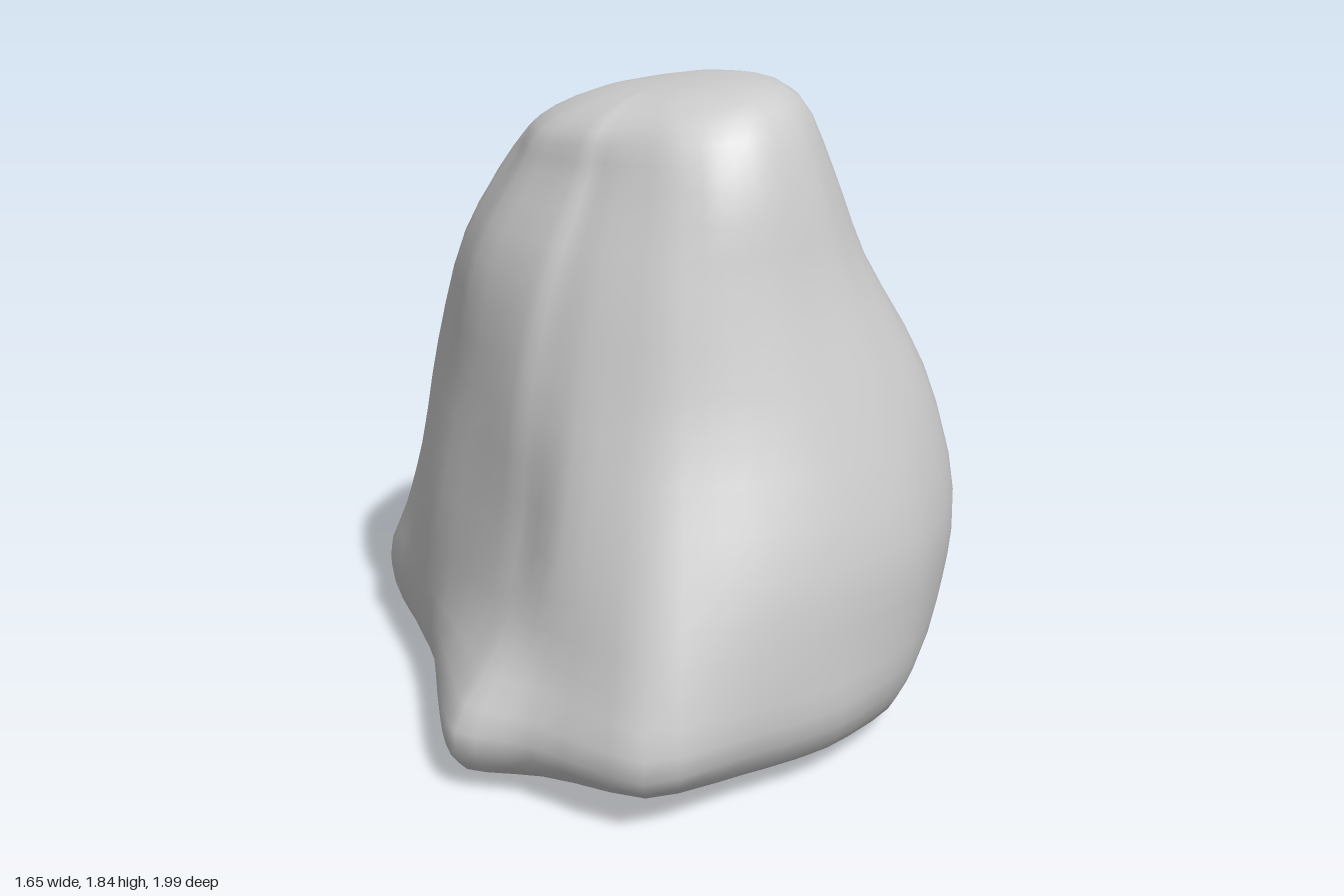
import * as THREE from 'three';
import { mergeVertices } from 'three/addons/utils/BufferGeometryUtils.js';

// Directions of the control points, degrees from +x towards +z
const ANGLES = [5, 26, 47, 68, 86, 104, 124, 137, 147, 176, 198, 212, 234, 266, 282, 304, 342];

// Cross-sections: height, then the radius in each direction
const HEIGHTS = [0.045, 0.2, 0.4, 0.65, 1.0, 1.35, 1.6, 1.75];
const RADII = [
  [.63, .70, .74, .76, .79, .87, .84, .91, .84, .70, .78, .90, .93, .97, .89, .71, .63],
  [.74, .78, .82, .86, .90, 1.02, .91, .95, .86, .73, .82, .98, .99, 1.0, .94, .76, .71],
  [.80, .82, .84, .85, .89, .95, .81, .76, .71, .71, .80, .91, .97, 1.0, .94, .77, .74],
  [.82, .83, .83, .81, .82, .82, .73, .65, .64, .68, .75, .83, .89, .96, .89, .75, .75],
  [.72, .73, .71, .67, .65, .64, .62, .60, .60, .61, .68, .76, .80, .82, .76, .68, .70],
  [.52, .54, .55, .54, .53, .52, .50, .49, .51, .56, .60, .65, .67, .64, .60, .56, .53],
  [.41, .44, .46, .46, .45, .41, .37, .36, .38, .43, .45, .50, .54, .50, .48, .46, .43],
  [.32, .34, .36, .36, .34, .32, .30, .31, .33, .37, .39, .40, .38, .34, .33, .34, .33],
];

// One ring of control points; the axis leans forward and the ends tilt
function ring(radii, y, scale = 1) {
  return radii.map((r, i) => {
    const a = THREE.MathUtils.degToRad(ANGLES[i]);
    const x = r * scale * Math.cos(a);
    const z = r * scale * Math.sin(a);
    const tilt = y > 1.7 ? 0.12 * x + 0.02 * z : y < 0.1 ? 0.025 * z : 0;
    return new THREE.Vector3(x, y + tilt, z + 0.07 * y);
  });
}

function rockGeometry() {
  const rings = [
    ring(RADII[0], 0.018, 0),
    ring(RADII[0], 0.02, 0.7),
    ...RADII.map((radii, i) => ring(radii, HEIGHTS[i])),
    ring(RADII[7], 1.81, 0.6),
    ring(RADII[7], 1.825, 0),
  ];

  // Round each ring slightly, then sweep each column upwards
  const around = ANGLES.length * 3;
  const up = (rings.length - 1) * 3;
  const loops = rings.map((points) => {
    const curve = new THREE.CatmullRomCurve3(points, true, 'catmullrom', 0.35);
    return Array.from({ length: around }, (_, j) => curve.getPoint(j / around));
  });
  const positions = [];
  const index = [];
  for (let j = 0; j < around; j++) {
    const column = new THREE.CatmullRomCurve3(loops.map((loop) => loop[j]));
    const a = j * (up + 1);
    const b = ((j + 1) % around) * (up + 1);
    for (let k = 0; k <= up; k++) positions.push(...column.getPoint(k / up).toArray());
    for (let k = 0; k < up; k++) {
      if (k > 0) index.push(a + k, a + k + 1, b + k);
      if (k < up - 1) index.push(a + k + 1, b + k + 1, b + k);
    }
  }

  let geometry = new THREE.BufferGeometry();
  geometry.setAttribute('position', new THREE.Float32BufferAttribute(positions, 3));
  geometry.setIndex(index);
  geometry = mergeVertices(geometry, 1e-4);
  geometry.computeVertexNormals();
  return geometry;
}

export function createModel() {
  const model = new THREE.Group();
  model.name = 'boulder';
  const rock = new THREE.Mesh(rockGeometry(), new THREE.MeshStandardMaterial({ color: 0xcccccc }));
  rock.name = 'rock';
  model.add(rock);

  // Stand on the ground, centred
  const box = new THREE.Box3().setFromObject(model);
  const centre = box.getCenter(new THREE.Vector3());
  rock.position.set(-centre.x, -box.min.y, -centre.z);
  return model;
}
